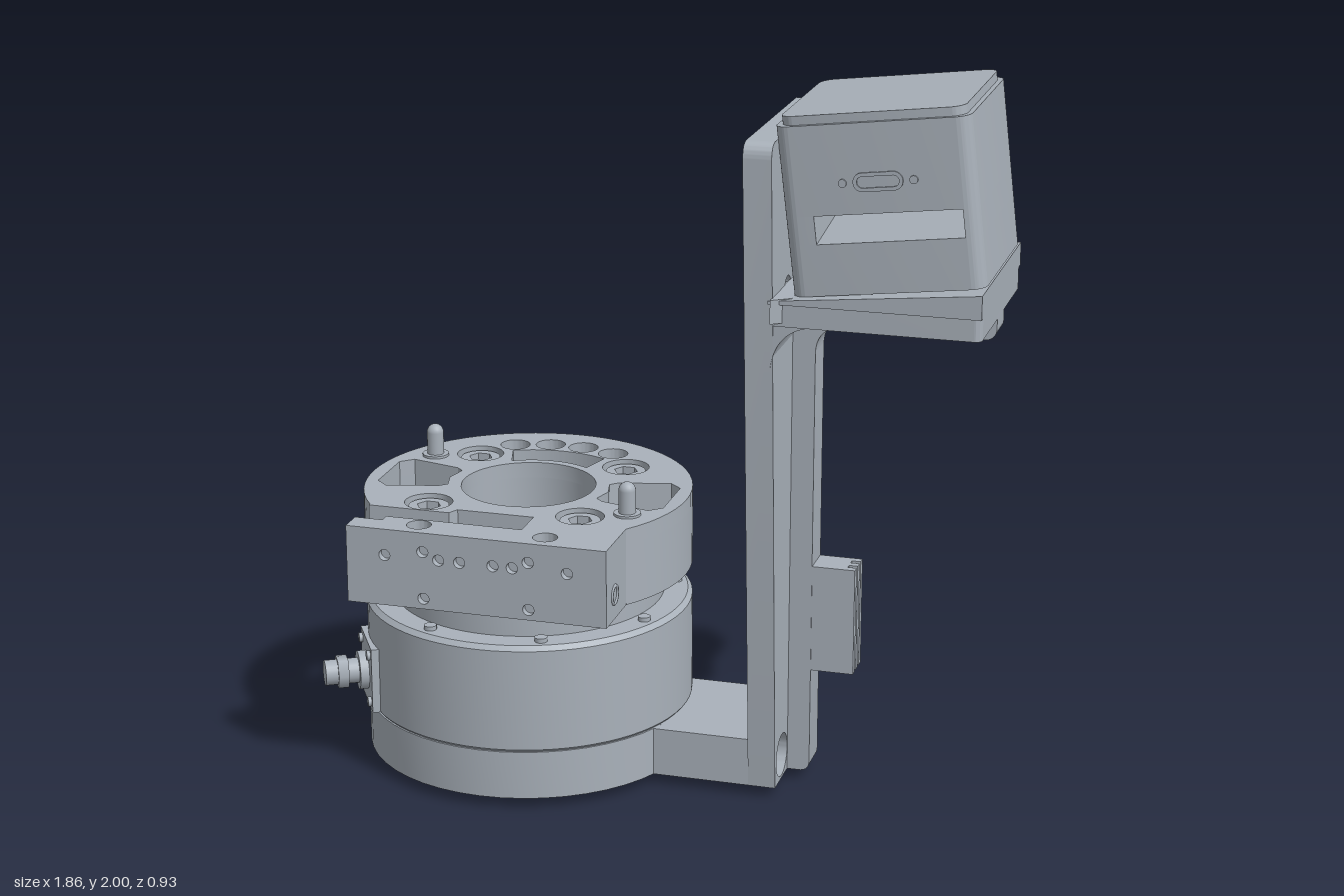
import * as THREE from 'three';
import { toCreasedNormals } from 'three/addons/utils/BufferGeometryUtils.js';

export function createModel() {
  const model = new THREE.Group();
  const metal = new THREE.MeshStandardMaterial({ color: 0xa9b1ba });
  metal.name = 'grey metal';

  const add = (name, geo, parent = model) => {
    const m = new THREE.Mesh(geo, metal);
    m.name = name;
    parent.add(m);
    return m;
  };
  const group = (name, x, y, z, parent = model) => {
    const g = new THREE.Group();
    g.name = name;
    g.position.set(x, y, z);
    parent.add(g);
    return g;
  };
  const extrude = (shape, depth) => toCreasedNormals(
    new THREE.ExtrudeGeometry(shape, { depth, bevelEnabled: false, curveSegments: 24 }), 0.5);
  // Extrusions along z (centred), upwards from y0 (shape y becomes -z), and along x from x0
  const alongZ = (shape, depth, z0 = -depth / 2) => extrude(shape, depth).translate(0, 0, z0);
  const upward = (shape, y0, y1) => extrude(shape, y1 - y0).rotateX(-Math.PI / 2).translate(0, y0, 0);
  const alongX = (shape, x0, x1) => extrude(shape, x1 - x0).rotateY(Math.PI / 2).translate(x0, 0, 0);
  const box = (x0, x1, y0, y1, z0, z1) => new THREE.BoxGeometry(x1 - x0, y1 - y0, z1 - z0)
    .translate((x0 + x1) / 2, (y0 + y1) / 2, (z0 + z1) / 2);
  const rod = (r, y0, y1, x = 0, z = 0, n = 24) => new THREE.CylinderGeometry(r, r, y1 - y0, n)
    .translate(x, (y0 + y1) / 2, z);
  const poly = pts => new THREE.Shape(pts.map(p => new THREE.Vector2(...p)));
  const disc = (x, y, r) => new THREE.Shape().absarc(x, y, r, 0, Math.PI * 2, false);
  const roundRect = (x0, x1, y0, y1, r) => {
    const s = new THREE.Shape();
    s.absarc(x1 - r, y0 + r, r, -Math.PI / 2, 0, false);
    s.absarc(x1 - r, y1 - r, r, 0, Math.PI / 2, false);
    s.absarc(x0 + r, y1 - r, r, Math.PI / 2, Math.PI, false);
    s.absarc(x0 + r, y0 + r, r, Math.PI, Math.PI * 1.5, false);
    s.closePath();
    return s;
  };

  // ---- Round base ----
  const base = group('base', -0.41, 0, 0);
  add('centringBoss', rod(0.19, 0, 0.06, 0, 0, 48), base);
  const flange = disc(0, 0, 0.463);
  for (let i = 0; i < 8; i++) {
    const a = (i + 0.5) * Math.PI / 4;
    flange.holes.push(disc(0.33 * Math.cos(a), 0.33 * Math.sin(a), 0.028));
    if (i % 2) flange.holes.push(disc(0.42 * Math.cos(a + 0.3), 0.42 * Math.sin(a + 0.3), 0.016));
  }
  add('bottomFlange', upward(flange, 0.03, 0.168), base);
  const profile = [[0, 0.165], [0.455, 0.165], [0.463, 0.175], [0.463, 0.465], [0.45, 0.478], [0.383, 0.478],
    [0.383, 0.566], [0.165, 0.566], [0.165, 0.42], [0, 0.42]].map(p => new THREE.Vector2(...p));
  add('sensorBody', toCreasedNormals(new THREE.LatheGeometry(profile, 72), 0.5), base);
  for (let i = 0; i < 8; i++) {
    const a = (i + 0.5) * Math.PI / 4;
    add('rimScrew', rod(0.018, 0.47, 0.49, 0.418 * Math.cos(a), 0.418 * Math.sin(a), 12), base);
  }

  // ---- Tool plate: lower and upper layer, so that shallow recesses get a floor ----
  const plate = group('toolPlate', -0.41, 0, 0);
  const outline = notch => {
    const s = new THREE.Shape();
    s.moveTo(-0.37, -0.44);
    s.lineTo(0.37, -0.44);
    s.lineTo(0.37, -0.278);
    s.absarc(0, 0, 0.463, -0.644, Math.PI + 0.644, false);
    if (notch) [[-0.37, -0.287], [-0.135, -0.287], [-0.12, -0.257], [0.1, -0.257], [0.1, -0.36],
      [-0.29, -0.36], [-0.29, -0.39], [-0.37, -0.39]].forEach(p => s.lineTo(...p));
    s.closePath();
    s.holes.push(disc(0, 0, 0.19));
    for (const k of [-1, 1])
      s.holes.push(poly([[0.42, 0.085], [0.385, 0.117], [0.24, 0.08], [0.22, 0.06], [0.235, 0],
        [0.22, -0.06], [0.24, -0.08], [0.385, -0.117], [0.42, -0.085]].map(([x, y]) => [k * x, y])));
    const slot = new THREE.Shape();
    slot.absarc(0, 0, 0.305, Math.PI / 2 - 0.47, Math.PI / 2 + 0.47, false);
    slot.absarc(0, 0, 0.215, Math.PI / 2 + 0.55, Math.PI / 2 - 0.55, true);
    slot.closePath();
    s.holes.push(slot);
    return s;
  };
  add('lowerLayer', upward(outline(false), 0.565, 0.74), plate);
  const upper = outline(true);
  for (const x of [-0.22, 0.22]) {
    for (const y of [-0.215, 0.22]) {
      upper.holes.push(disc(x, y, 0.067));
      const head = disc(x, y, 0.056);
      head.holes.push(poly([0, 1, 2, 3, 4, 5].map(i =>
        [x + 0.034 * Math.cos(i * Math.PI / 3), y + 0.034 * Math.sin(i * Math.PI / 3)])));
      add('socketBolt', upward(head, 0.739, 0.775), plate);
    }
    upper.holes.push(disc(x * 0.82, -0.4, 0.034));
  }
  for (const a of [-0.43, -0.14, 0.14, 0.43])
    upper.holes.push(disc(0.358 * Math.sin(a), 0.358 * Math.cos(a), 0.043));
  add('upperLayer', upward(upper, 0.74, 0.785), plate);

  // Drilled front face
  const face = poly([[-0.37, 0.565], [0.37, 0.565], [0.37, 0.785], [-0.37, 0.785]]);
  for (const [x, y] of [[-0.26, 0.71], [-0.15, 0.73], [-0.105, 0.71], [-0.045, 0.71], [0.05, 0.71],
    [0.105, 0.71], [0.15, 0.73], [0.26, 0.71], [-0.15, 0.595], [0.15, 0.595]])
    face.holes.push(disc(x, y, 0.016));
  add('frontFace', alongZ(face, 0.02, 0.44), plate);

  // Locating pins
  for (const [x, z] of [[-0.34, -0.17], [0.34, 0.165]]) {
    add('pinCollar', rod(0.038, 0.78, 0.792, x, z), plate);
    add('locatingPin', new THREE.CapsuleGeometry(0.024, 0.13, 6, 20).translate(x, 0.791, z), plate);
  }
  // Port rims around the back and on the side
  const rim = (a, y, r) => add('portRim', new THREE.TorusGeometry(r, 0.005, 6, 24)
    .translate(0, y, 0.462).rotateY(a), plate);
  for (const a of [-0.52, -0.17, 0.17, 0.52]) rim(Math.PI + a, 0.655, 0.036);
  for (const a of [-0.05, 0.05]) rim(Math.PI + a, 0.32, 0.014);
  add('sidePortRim', new THREE.TorusGeometry(0.025, 0.005, 6, 24).rotateY(Math.PI / 2)
    .translate(0.37, 0.635, 0.385), plate);

  // ---- Cable connector, pointing out to the front right ----
  const plug = group('cableConnector', -0.41, 0.27, 0);
  plug.rotation.y = Math.PI + Math.PI / 6;
  add('connectorPlate', box(0.4, 0.475, -0.095, 0.095, -0.095, 0.095), plug);
  for (const [r, a, b, n] of [[0.055, 0.47, 0.5, 24], [0.036, 0.5, 0.53, 24], [0.047, 0.53, 0.56, 6], [0.036, 0.56, 0.595, 24]])
    add('connectorBarrel', rod(r, a, b, 0, 0, n).rotateZ(-Math.PI / 2), plug);
  for (const y of [-0.07, 0.07]) for (const z of [-0.07, 0.07])
    add('connectorScrew', rod(0.014, 0.47, 0.485, 0, 0, 12).rotateZ(-Math.PI / 2).translate(0, y, z), plug);

  // ---- Bracket ----
  const bracket = group('bracket', 0, 0, 0);
  add('foot', box(-0.1, 0.29, 0.03, 0.168, -0.19, 0.19), bracket);
  const back = new THREE.Shape();
  back.moveTo(-0.19, 0.03);
  back.lineTo(0.19, 0.03);
  back.lineTo(0.305, 1.83);
  back.quadraticCurveTo(0.307, 1.88, 0.265, 1.88);
  back.lineTo(-0.265, 1.88);
  back.quadraticCurveTo(-0.307, 1.88, -0.305, 1.83);
  back.closePath();
  for (const z of [-0.115, 0.115]) {
    back.holes.push(disc(z, 0.1, 0.062), disc(z, 1.75, 0.034), disc(z, 1.45, 0.034));
    const head = disc(z, 0.1, 0.05);
    head.holes.push(disc(z, 0.1, 0.024));
    add('footBolt', alongX(head, 0.285, 0.335), bracket);
  }
  add('backPlate', alongX(back, 0.285, 0.362), bracket);

  // Centre rib down the plate, and its continuation under the shelf
  const rib = new THREE.Shape();
  rib.moveTo(0.355, 0.03);
  rib.lineTo(0.395, 0.03);
  rib.quadraticCurveTo(0.425, 0.03, 0.425, 0.06);
  rib.lineTo(0.425, 1.25);
  rib.quadraticCurveTo(0.425, 1.33, 0.5, 1.33);
  rib.lineTo(0.53, 1.33);
  rib.quadraticCurveTo(0.56, 1.33, 0.56, 1.36);
  rib.lineTo(0.56, 1.4);
  rib.lineTo(0.355, 1.4);
  rib.closePath();
  add('centreRib', alongZ(rib, 0.1), bracket);
  add('ribEnd', alongZ(roundRect(0.81, 0.915, 1.33, 1.43, 0.03), 0.1), bracket);
  add('cableClip', box(0.42, 0.52, 0.335, 0.642, -0.048, 0.048), bracket);
  for (const z of [-0.037, 0, 0.037])
    add('clipSlat', box(0.51, 0.545, 0.335, 0.642, z - 0.011, z + 0.011), bracket);

  // Shelf with fillet, round opening below and sloping top
  const fillet = new THREE.Shape();
  fillet.moveTo(0.355, 1.27);
  fillet.quadraticCurveTo(0.37, 1.39, 0.49, 1.392);
  fillet.lineTo(0.355, 1.4);
  fillet.closePath();
  add('shelfFillet', alongZ(fillet, 0.545), bracket);
  const shelf = roundRect(0.35, 0.915, -0.28, 0.28, 0.02);
  shelf.holes.push(disc(0.685, 0, 0.125));
  add('shelf', upward(shelf, 1.39, 1.45), bracket);
  add('shelfTop', alongZ(poly([[0.35, 1.45], [0.915, 1.45], [0.915, 1.515], [0.35, 1.458]]), 0.57), bracket);
  const gusset = poly([[0.36, -0.3], [0.41, -0.265], [0.41, 0.265], [0.36, 0.3]]);
  add('shelfGusset', upward(gusset, 1.4, 1.465), bracket);

  // ---- Tilted camera housing, layered so the slot passes right through ----
  const camera = group('cameraHousing', 0.662, 1.495, 0);
  camera.rotation.z = 0.12;
  const square = roundRect(-0.257, 0.257, -0.255, 0.255, 0.04);
  add('lowerHousing', upward(square, 0, 0.138), camera);
  add('upperHousing', upward(square, 0.213, 0.452), camera);
  add('lid', upward(roundRect(-0.243, 0.243, -0.243, 0.243, 0.04), 0.45, 0.476), camera);
  for (const k of [-1, 1]) {
    const end = new THREE.Shape();
    end.moveTo(0.175, -0.255);
    end.absarc(0.217, -0.215, 0.04, -Math.PI / 2, 0, false);
    end.absarc(0.217, 0.215, 0.04, 0, Math.PI / 2, false);
    end.lineTo(0.175, 0.255);
    end.closePath();
    const geo = upward(end, 0.138, 0.213);
    add('slotEnd', k < 0 ? geo.rotateY(Math.PI) : geo, camera);
    add('connectorStud', alongZ(disc(0.004 + k * 0.094, 0.297, 0.011), 0.006, 0.254), camera);
  }
  const port = roundRect(-0.062, 0.07, 0.272, 0.322, 0.025);
  port.holes.push(roundRect(-0.052, 0.06, 0.282, 0.312, 0.015));
  add('dataPort', alongZ(port, 0.006, 0.254), camera);
  add('mountScrew', rod(0.045, -0.175, 0.02, 0.005, 0), camera);

  return model;
}
